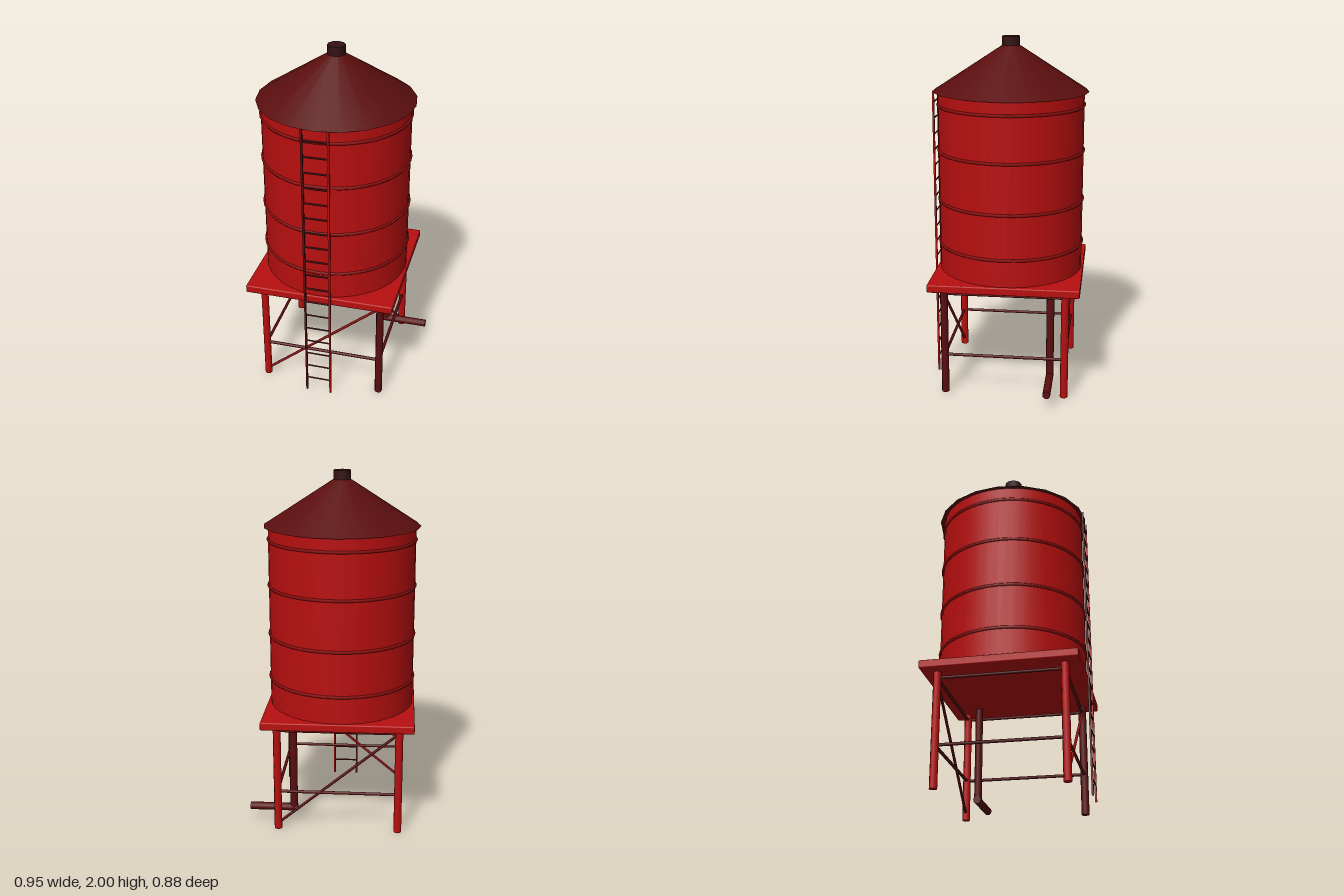
import * as THREE from 'three';
import { RoundedBoxGeometry } from 'three/addons/geometries/RoundedBoxGeometry.js';

const mat = (name, color) => Object.assign(new THREE.MeshStandardMaterial({ color }), { name });

export function createModel() {
  const red = mat('barn red', 0xb80f0f);
  const midRed = mat('weathered red', 0x8c0e0e);
  const maroon = mat('maroon', 0x5a0e0e);
  const soot = mat('soot brown', 0x341212);

  const model = new THREE.Group();
  model.name = 'waterTower';
  const tower = new THREE.Group();
  tower.name = 'tower';
  tower.position.x = -0.037;
  model.add(tower);

  const add = (name, geometry, material, x = 0, y = 0, z = 0) => {
    const mesh = new THREE.Mesh(geometry, material);
    mesh.name = name;
    mesh.position.set(x, y, z);
    tower.add(mesh);
    return mesh;
  };
  // Round bar between two points
  const bar = (name, from, to, radius, material, sides = 8) => {
    const a = new THREE.Vector3(...from), b = new THREE.Vector3(...to);
    const dir = b.clone().sub(a);
    const mesh = add(name, new THREE.CylinderGeometry(radius, radius, dir.length(), sides), material);
    mesh.position.copy(a).add(b).multiplyScalar(0.5);
    mesh.quaternion.setFromUnitVectors(new THREE.Vector3(0, 1, 0), dir.normalize());
  };

  // Tank, hoops, roof and vent
  add('tank', new THREE.CylinderGeometry(0.412, 0.412, 1.03, 40), red, 0, 1.187, 0);
  for (const y of [0.83, 1.084, 1.366, 1.624]) {
    const hoop = new THREE.TorusGeometry(0.412, 0.009, 6, 40).rotateX(Math.PI / 2);
    add('hoop', hoop, midRed, 0, y, 0);
  }
  add('roof', new THREE.CylinderGeometry(0.045, 0.438, 0.255, 20), maroon, 0, 1.825, 0);
  add('vent', new THREE.CylinderGeometry(0.05, 0.05, 0.06, 10), soot, 0, 1.97, 0);

  // Platform
  add('platform', new RoundedBoxGeometry(0.847, 0.045, 0.847, 2, 0.007), red, 0, 0.653, 0);

  // Legs, one of them darker
  const s = 0.341;
  for (const x of [-s, s]) {
    for (const z of [-s, s]) {
      bar('leg', [x, 0, z], [x, 0.635, z], 0.022, x > 0 && z > 0 ? maroon : red);
    }
  }

  // Rails around the frame and one diagonal on the front and back
  for (const y of [0.23, 0.6]) {
    for (const k of [-s, s]) {
      bar('frameRail', [-s, y, k], [s, y, k], 0.009, maroon);
      bar('frameRail', [k, y, -s], [k, y, s], 0.009, maroon);
    }
  }
  bar('frontBrace', [-s, 0.03, s], [s, 0.6, s], 0.008, midRed);
  bar('backBrace', [-s, 0.6, -s], [s, 0.03, -s], 0.008, maroon);

  // Ladder
  const rail = new THREE.BoxGeometry(0.011, 1.7, 0.011);
  add('ladderRail', rail, maroon, -0.07, 0.85, 0.431);
  add('ladderRail', rail, red, 0.072, 0.85, 0.431);
  for (let i = 0; i < 18; i++) {
    const y = 0.09 + i * 0.0909;
    bar('rung', [-0.07, y, 0.431], [0.072, y, 0.431], 0.0045, maroon, 6);
  }

  // Drain pipe with elbow
  const px = 0.259, pz = -0.254, py = 0.09;
  bar('drainPipe', [px, py, pz], [px, 0.64, pz], 0.022, maroon, 12);
  bar('drainOutlet', [px - 0.022, py, pz], [0.512, py, pz], 0.022, maroon, 12);

  return model;
}
